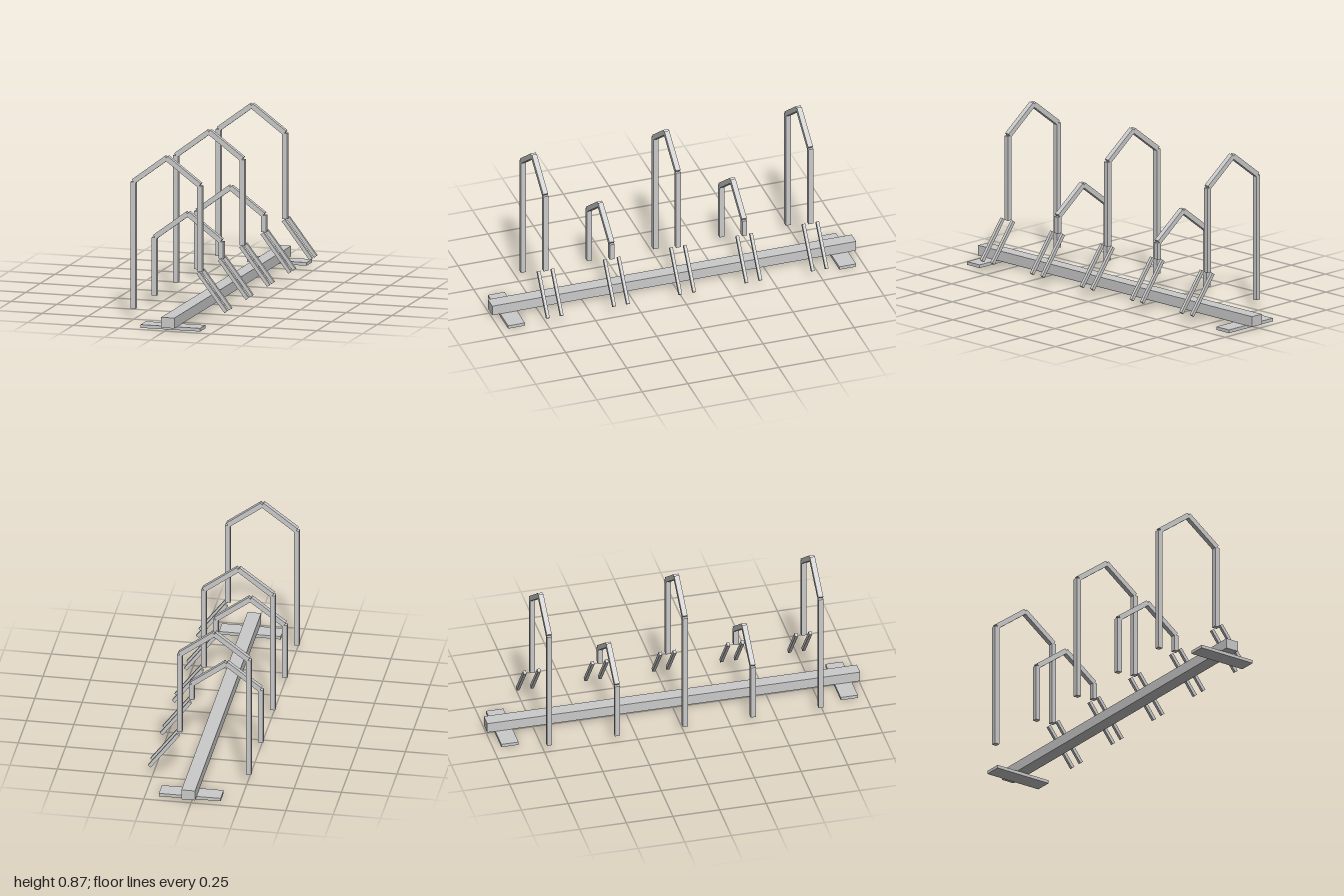
import * as THREE from 'three';

const material = new THREE.MeshStandardMaterial({ color: 0xcccccc, flatShading: true });

// Axis-aligned box given by its extents
function box(name, x0, x1, y0, y1, z0, z1) {
  const mesh = new THREE.Mesh(new THREE.BoxGeometry(x1 - x0, y1 - y0, z1 - z0), material);
  mesh.name = name;
  mesh.position.set((x0 + x1) / 2, (y0 + y1) / 2, (z0 + z1) / 2);
  return mesh;
}

// Square-ended bar between two points of the xy plane
function bar(name, [x0, y0], [x1, y1], z, width, depth) {
  const length = Math.hypot(x1 - x0, y1 - y0);
  const mesh = new THREE.Mesh(new THREE.BoxGeometry(length, width, depth), material);
  mesh.name = name;
  mesh.position.set((x0 + x1) / 2, (y0 + y1) / 2, z);
  mesh.rotation.z = Math.atan2(y1 - y0, x1 - x0);
  return mesh;
}

// One wheel holder: peaked hoop with a long and a short post, and two slanted prongs
function wheelHolder(z, eaves) {
  const holder = new THREE.Group();
  holder.name = 'wheelHolder';
  const tube = 0.027, back = -0.258, front = 0.106;
  const peak = [(back + front) / 2, eaves + 0.135];
  holder.add(
    bar('longPost', [back, 0.056], [back, eaves - 0.002], z, tube, tube),
    bar('shortPost', [front, 0.275], [front, eaves - 0.002], z, tube, tube),
    bar('backSlope', [back + 0.002, eaves], peak, z, tube, tube),
    bar('frontSlope', [front, eaves], peak, z, tube, tube)
  );
  for (const side of [-1, 1]) {
    holder.add(bar('prong', [0.108, 0.275], [0.26, 0.076], z + side * 0.038, 0.019, 0.016));
  }
  return holder;
}

export function createModel() {
  const rack = new THREE.Group();
  rack.name = 'bicycleRack';

  // Ground beam on two cross feet
  rack.add(box('beam', -0.021, 0.051, 0.02, 0.075, -1, 1));
  for (const z of [-0.91, 0.91]) {
    rack.add(box('foot', -0.148, 0.178, 0.003, 0.02, z - 0.046, z + 0.046));
  }

  // Alternating tall and low wheel holders
  for (let i = -2; i <= 2; i++) {
    rack.add(wheelHolder(i * 0.364, i % 2 === 0 ? 0.731 : 0.366));
  }
  return rack;
}
